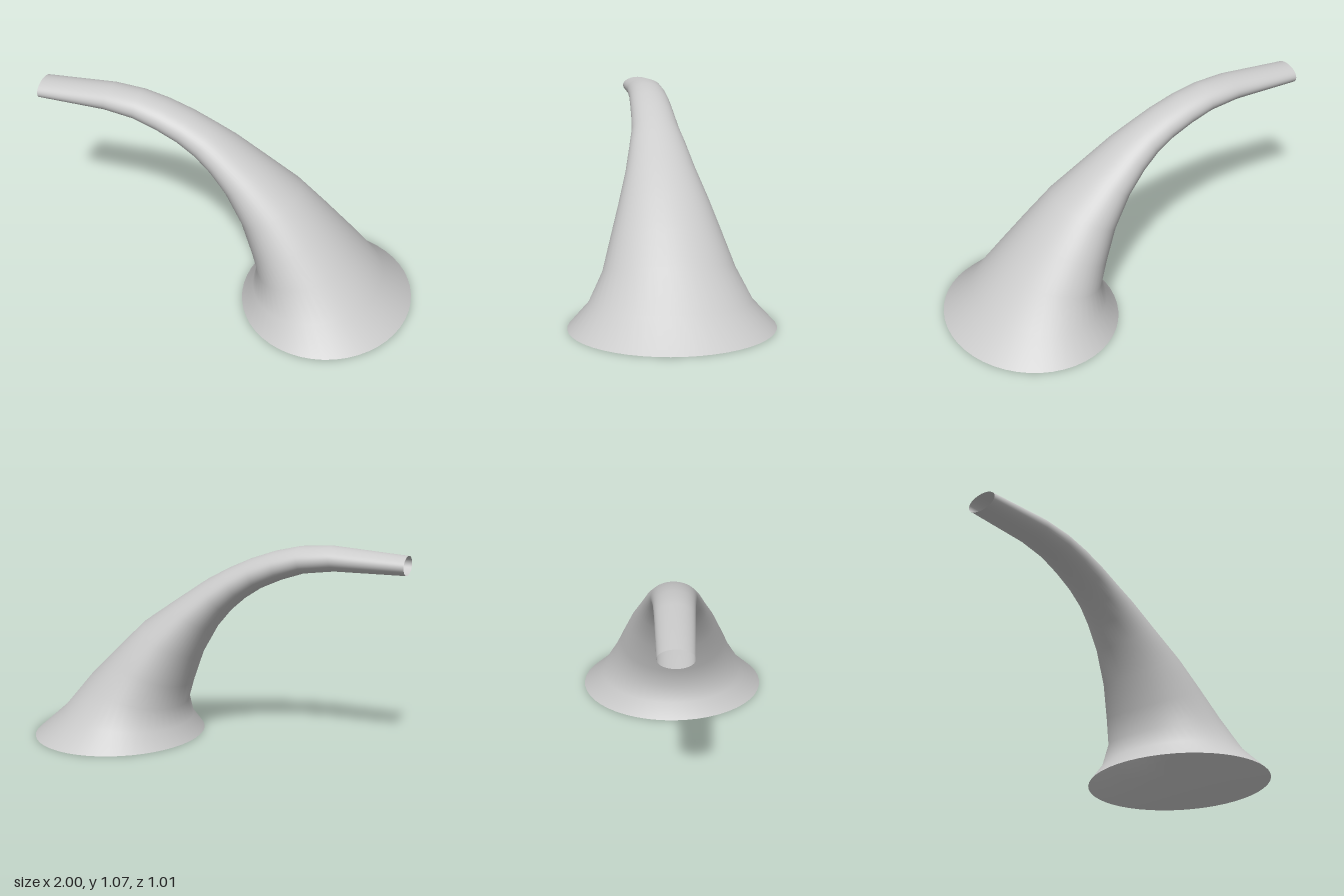
import * as THREE from 'three';

// Rings along the horn: upper x, upper y, lower x, lower y, half width in z
const RINGS = [
  [-1.00, 1.035, -1.00, 0.94, 0.085],
  [-0.62, 1.065, -0.64, 0.94, 0.095],
  [-0.46, 1.055, -0.48, 0.92, 0.101],
  [-0.33, 1.025, -0.36, 0.88, 0.108],
  [-0.20, 0.98, -0.25, 0.83, 0.115],
  [-0.08, 0.925, -0.16, 0.77, 0.125],
  [0.03, 0.865, -0.08, 0.70, 0.146],
  [0.20, 0.75, 0.00, 0.605, 0.178],
  [0.38, 0.625, 0.09, 0.45, 0.228],
  [0.53, 0.48, 0.15, 0.29, 0.28],
  [0.68, 0.33, 0.185, 0.175, 0.325],
  [0.84, 0.14, 0.165, 0.08, 0.40],
  [1.00, 0.00, 0.11, 0.00, 0.505],
];
const SIDES = 48;

// Lofts elliptical rings into an open tube with shared, smooth vertices
function loft(rings, sides) {
  const positions = [];
  const indices = [];
  rings.forEach(([ux, uy, lx, ly, w], r) => {
    for (let i = 0; i < sides; i++) {
      const t = (i / sides) * Math.PI * 2;
      const k = Math.cos(t) / 2;
      positions.push(
        (ux + lx) / 2 + (ux - lx) * k,
        (uy + ly) / 2 + (uy - ly) * k,
        w * Math.sin(t)
      );
      if (r === rings.length - 1) continue;
      const a = r * sides + i;
      const b = r * sides + ((i + 1) % sides);
      indices.push(a, b, a + sides, b, b + sides, a + sides);
    }
  });
  const geometry = new THREE.BufferGeometry();
  geometry.setAttribute('position', new THREE.Float32BufferAttribute(positions, 3));
  geometry.setIndex(indices);
  geometry.computeVertexNormals();
  return geometry;
}

export function createModel() {
  const group = new THREE.Group();
  group.name = 'curvedHorn';

  // Thin open shell, from the narrow neck to the flared mouth
  const shell = new THREE.Mesh(
    loft(RINGS, SIDES),
    new THREE.MeshStandardMaterial({ color: 0xcccccc, side: THREE.DoubleSide })
  );
  shell.name = 'hornShell';
  group.add(shell);
  return group;
}
